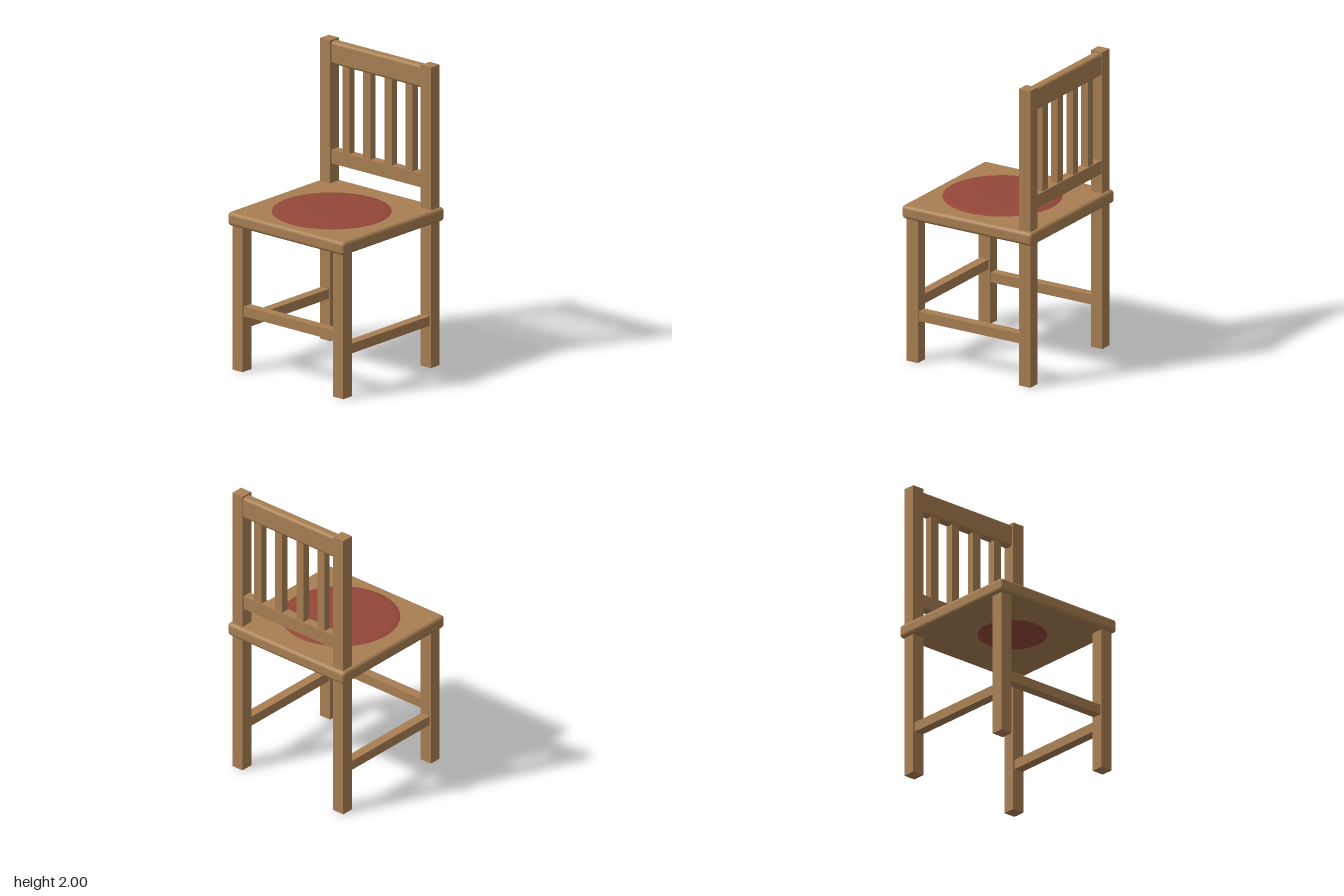
import * as THREE from 'three';
import { RoundedBoxGeometry } from 'three/addons/geometries/RoundedBoxGeometry.js';

export function createModel() {
  const chair = new THREE.Group();
  chair.name = 'chair';

  const wood = new THREE.MeshStandardMaterial({ color: 0xa87f52 });
  wood.name = 'wood';
  const red = new THREE.MeshStandardMaterial({ color: 0x944738 });
  red.name = 'cushionRed';

  const add = (name, geometry, material, x, y, z) => {
    const mesh = new THREE.Mesh(geometry, material);
    mesh.name = name;
    mesh.position.set(x, y, z);
    chair.add(mesh);
    return mesh;
  };

  // Wooden bar given by its extents in y and its centre in x and z
  const bar = (name, width, bottom, top, depth, x, z) =>
    add(name, new THREE.BoxGeometry(width, top - bottom, depth), wood, x, (bottom + top) / 2, z);

  const LEG = 0.085;
  const OFFSET = 0.4225;
  const GAP = 2 * OFFSET - LEG;

  // Legs, back posts and side stretchers
  for (const [side, sx] of [['left', 1], ['right', -1]]) {
    bar(side + 'FrontLeg', LEG, 0, 0.97, LEG, sx * OFFSET, OFFSET);
    bar(side + 'BackPost', LEG, 0, 2, LEG, sx * OFFSET, -OFFSET);
    bar(side + 'Stretcher', 0.065, 0.28, 0.345, GAP, sx * OFFSET, 0);
  }
  bar('frontStretcher', GAP, 0.37, 0.435, 0.065, 0, OFFSET);

  // Seat board with softened edges
  add('seat', new RoundedBoxGeometry(0.98, 0.09, 0.98, 4, 0.025), wood, 0, 1.005, 0);

  // Round pad: low dome above, shallow bulge showing below
  const lathe = (points) =>
    new THREE.LatheGeometry(points.map(([r, y]) => new THREE.Vector2(r, y)), 64);
  add('cushionTop', lathe([[0.382, 1.049], [0.37, 1.054], [0.34, 1.059], [0.25, 1.064], [0.12, 1.066], [0, 1.066]]), red, 0, 0, 0.042);
  add('seatUnderside', lathe([[0.22, 0.951], [0.3, 0.961]]), wood, 0, 0, 0.042);
  add('cushionUnderside', lathe([[0, 0.945], [0.12, 0.947], [0.22, 0.951]]), red, 0, 0, 0.042);

  // Backrest: rounded top rail (ends hidden in the posts), lower rail and slats
  add('topRail', new RoundedBoxGeometry(GAP + 0.06, 0.15, 0.068, 4, 0.02), wood, 0, 1.915, -0.425);
  bar('lowerRail', GAP, 1.18, 1.27, 0.065, 0, -0.425);
  for (const x of [-0.265, -0.09, 0.09, 0.265]) {
    bar('backSlat', 0.06, 1.26, 1.86, 0.05, x, -0.425);
  }

  return chair;
}
